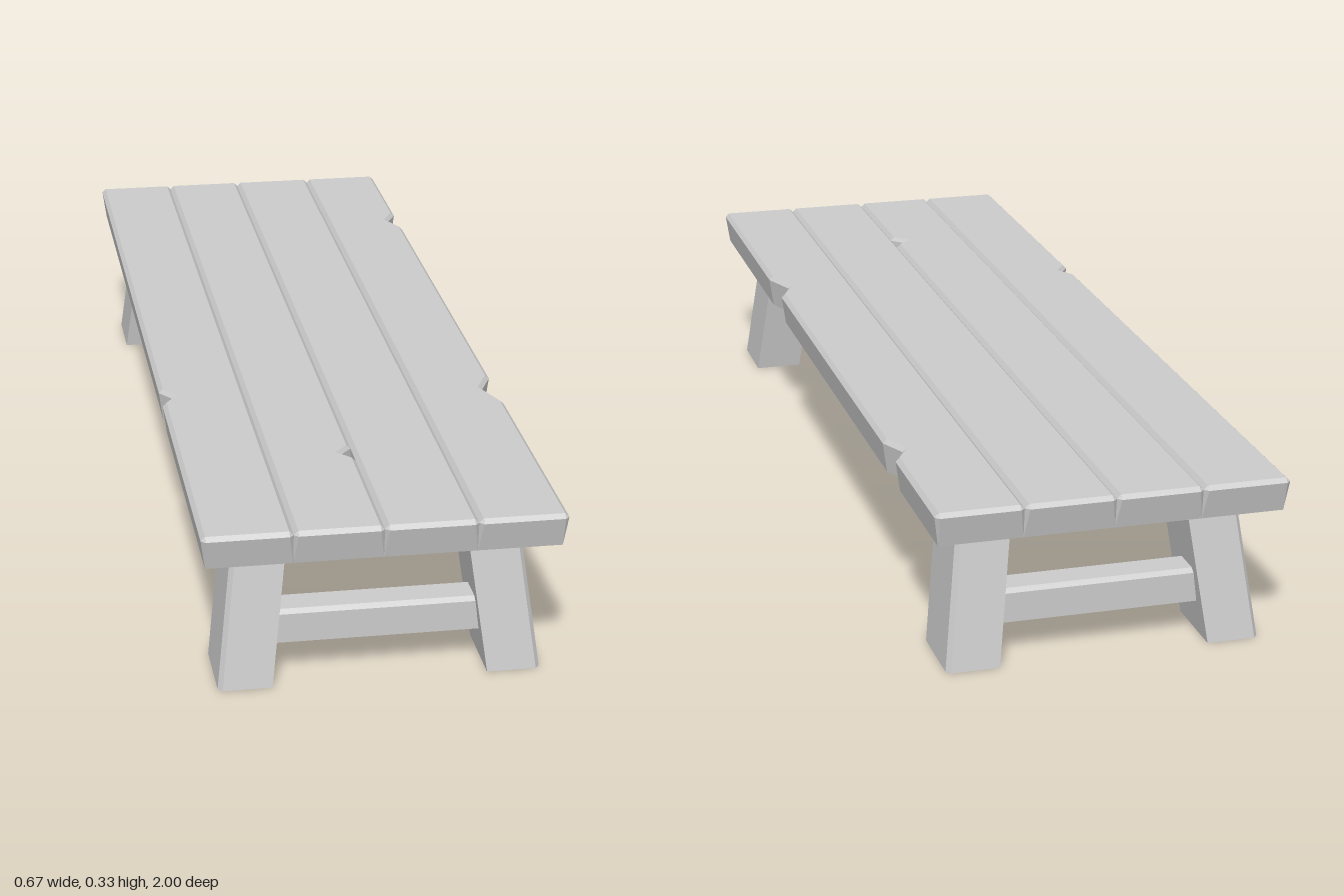
import * as THREE from 'three';

const material = new THREE.MeshStandardMaterial({ color: 0xcccccc, flatShading: true });

// Joins a list of equal-length rings of [x, y, z] and closes both ends.
// Rings run counterclockwise as seen from the last ring's end.
function loft(name, rings) {
  const pos = [];
  const tri = (a, b, c) => pos.push(...a, ...b, ...c);
  const n = rings[0].length;
  for (let i = 0; i < rings.length - 1; i++) {
    for (let j = 0; j < n; j++) {
      const k = (j + 1) % n;
      const [a, b, c, d] = [rings[i][j], rings[i][k], rings[i + 1][k], rings[i + 1][j]];
      tri(a, b, c);
      tri(a, c, d);
    }
  }
  const first = rings[0], last = rings[rings.length - 1];
  for (let j = 1; j < n - 1; j++) {
    tri(first[0], first[j + 1], first[j]);
    tri(last[0], last[j], last[j + 1]);
  }
  const geometry = new THREE.BufferGeometry();
  geometry.setAttribute('position', new THREE.Float32BufferAttribute(pos, 3));
  geometry.computeVertexNormals();
  const mesh = new THREE.Mesh(geometry, material);
  mesh.name = name;
  return mesh;
}

const BOTTOM = 0.267, RIM = 0.325, TOP = 0.333, BEVEL = 0.008;

// Plank with bevelled top, flared ends and triangular chips in its long edges.
// bottom and rim are [left, right]; a chip is { side, z: [start, tip, end], depth }.
function plank(name, bottom, rim, chips) {
  const ring = (zBottom, zRim, zTop, corner, cutL = 0, cutR = 0) => [
    [rim[0] + corner + cutL, RIM, zRim],
    [bottom[0] + cutL, BOTTOM, zBottom],
    [bottom[1] - cutR, BOTTOM, zBottom],
    [rim[1] - corner - cutR, RIM, zRim],
    [rim[1] - BEVEL - cutR, TOP, zTop],
    [rim[0] + BEVEL + cutL, TOP, zTop],
  ];
  const rings = [ring(-0.985, -1, -0.992, BEVEL), ring(-0.984, -0.992, -0.991, 0)];
  for (const { side, z, depth } of chips) {
    z.forEach((s, i) => {
      const cut = i === 1 ? depth : 0;
      rings.push(ring(s, s, s, 0, side < 0 ? cut : 0, side > 0 ? cut : 0));
    });
  }
  rings.push(ring(0.984, 0.992, 0.991, 0), ring(0.985, 1, 0.992, BEVEL));
  return loft(name, rings);
}

// Splayed leg with its outer corner bevelled; sx and sz pick the corner.
function leg(name, sx, sz) {
  const foot = [[0.3, 0.94], [0.3, 0.8], [0.2, 0.8], [0.2, 0.95], [0.292, 0.95]];
  const ring = (y, dx, dz) => {
    const points = foot.map(([x, z]) => [sx * (x - dx), y, sz * (z - dz)]);
    return sx * sz < 0 ? points.reverse() : points;
  };
  return loft(name, [ring(0, 0, 0), ring(BOTTOM, 0.033, 0.048)]);
}

// Rail between a pair of legs, bevelled along its top edges.
function crossbar(name, z) {
  const h = 0.036;
  const section = [
    [0.068, -h], [0.125, -h], [0.133, -h + BEVEL],
    [0.133, h - BEVEL], [0.125, h], [0.068, h],
  ];
  return loft(name, [-0.22, 0.22].map((x) => section.map(([y, dz]) => [x, y, z + dz])));
}

export function createModel() {
  const model = new THREE.Group();
  model.name = 'bench';

  // Tabletop
  const bottoms = [-0.325, -0.167, -0.003, 0.168, 0.325];
  const rims = [-0.333, -0.167, -0.003, 0.168, 0.333];
  const chips = [
    [{ side: -1, z: [0.3, 0.335, 0.37], depth: 0.024 }],
    [{ side: 1, z: [0.63, 0.66, 0.69], depth: 0.026 }],
    [],
    [
      { side: 1, z: [-0.71, -0.665, -0.61], depth: 0.025 },
      { side: 1, z: [0.325, 0.385, 0.46], depth: 0.028 },
    ],
  ];
  const tabletop = new THREE.Group();
  tabletop.name = 'tabletop';
  chips.forEach((list, i) => {
    tabletop.add(plank(`plank${i + 1}`, bottoms.slice(i, i + 2), rims.slice(i, i + 2), list));
  });
  model.add(tabletop);

  // Leg pairs with their rails
  for (const [end, sz] of [['front', 1], ['back', -1]]) {
    const frame = new THREE.Group();
    frame.name = `${end}LegFrame`;
    frame.add(
      leg(`${end}LeftLeg`, 1, sz),
      leg(`${end}RightLeg`, -1, sz),
      crossbar(`${end}Crossbar`, sz * 0.87),
    );
    model.add(frame);
  }
  return model;
}
